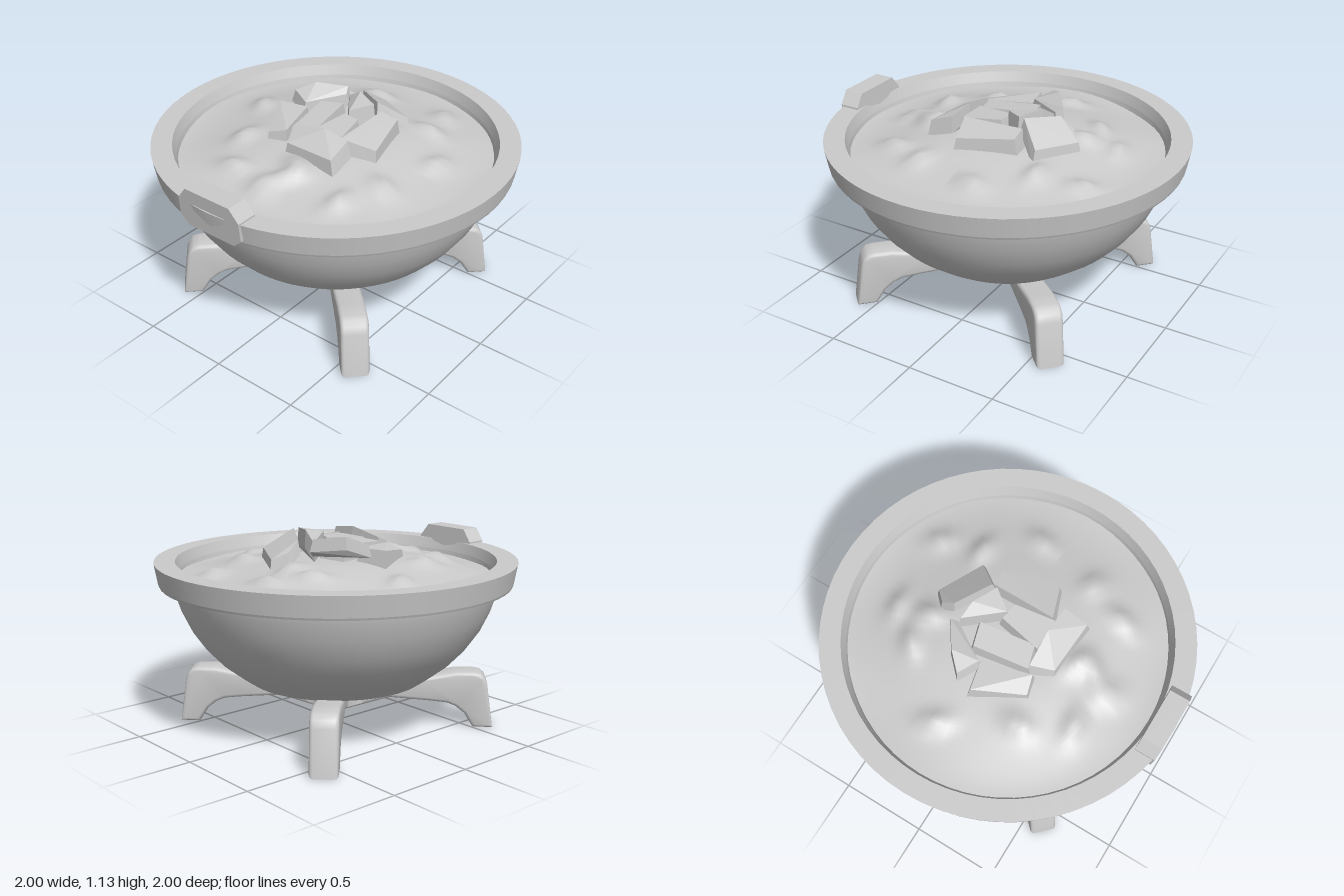
import * as THREE from 'three';
import { toCreasedNormals } from 'three/addons/utils/BufferGeometryUtils.js';
import { ConvexGeometry } from 'three/addons/geometries/ConvexGeometry.js';

const material = new THREE.MeshStandardMaterial({ color: 0xcccccc });
const thin = new THREE.MeshStandardMaterial({ color: 0xcccccc, side: THREE.DoubleSide });

function add(parent, name, geometry, mat = material) {
  const mesh = new THREE.Mesh(geometry, mat);
  mesh.name = name;
  parent.add(mesh);
  return mesh;
}

const vectors = (points) => points.map(([x, y]) => new THREE.Vector2(x, y));

function lathe(points) {
  return new THREE.LatheGeometry(vectors(points), 64);
}

// Low mound that falls to the wall, with small lumps scattered over it
const lumps = [
  [-0.15, -0.6], [0.3, -0.62], [-0.3, -0.42], [-0.6, -0.08], [0.58, -0.13], [0.5, 0.25],
  [0.4, 0.48], [-0.25, 0.55], [0, 0.62], [0.06, 0.5], [0.06, 0.4], [-0.4, 0.3], [0.36, -0.38], [-0.12, -0.42],
];
function ashHeight(x, z) {
  const r = Math.hypot(x, z);
  let y = 0.87 + 0.1 * (1 - THREE.MathUtils.smoothstep(r, 0.25, 0.85));
  lumps.forEach(([lx, lz], i) => {
    const a = i * 1.3, dx = x - lx, dz = z - lz;
    const u = dx * Math.cos(a) + dz * Math.sin(a), v = dz * Math.cos(a) - dx * Math.sin(a);
    y += 0.045 * Math.exp(-(u * u) / 0.008 - (v * v) / 0.003);
  });
  return y + 0.008 * Math.sin(7 * x + 1) * Math.cos(6 * z);
}

function ashGeometry() {
  const g = new THREE.RingGeometry(0.001, 0.868, 72, 36);
  g.rotateX(-Math.PI / 2);
  const p = g.attributes.position;
  for (let i = 0; i < p.count; i++) p.setY(i, ashHeight(p.getX(i), p.getZ(i)));
  g.computeVertexNormals();
  return g;
}

// Chipped block: top corners [x, z, y], with a slightly wider underside
function coalGeometry(corners, depth) {
  const cx = corners.reduce((s, c) => s + c[0], 0) / corners.length;
  const cz = corners.reduce((s, c) => s + c[1], 0) / corners.length;
  const points = [];
  for (const [x, z, y] of corners) {
    points.push(new THREE.Vector3(cx + (x - cx) * 0.92, y, cz + (z - cz) * 0.92));
    points.push(new THREE.Vector3(cx + (x - cx) * 1.04, y - depth, cz + (z - cz) * 1.04));
  }
  return new ConvexGeometry(points);
}

// One beam with a foot at each end
function beamGeometry() {
  const half = [
    [0.06, 0.09], [0.31, 0.165], [0.53, 0.15], [0.63, 0.14], [0.68, 0.12], [0.73, 0.08], [0.78, 0],
    [0.89, 0], [0.855, 0.25], [0.84, 0.29], [0.815, 0.313], [0.78, 0.32], [0.68, 0.32], [0.5, 0.285],
  ];
  const mirrored = half.map(([x, y]) => [-x, y]).reverse();
  const shape = new THREE.Shape(vectors([[0, 0.08], ...half, ...mirrored]));
  const g = new THREE.ExtrudeGeometry(shape, {
    depth: 0.11, bevelEnabled: true, bevelThickness: 0.02, bevelSize: 0.02, bevelOffset: -0.02, bevelSegments: 3,
  });
  g.translate(0, 0, -0.055);
  return toCreasedNormals(g, 0.7);
}

// Concave fillets where the beams cross
function hubGeometry() {
  const shape = new THREE.Shape();
  shape.moveTo(0.2, 0.065);
  for (let k = 0; k < 4; k++) {
    const turn = (x, y) => {
      const c = Math.cos(k * Math.PI / 2), s = Math.sin(k * Math.PI / 2);
      return [x * c - y * s, x * s + y * c];
    };
    if (k) shape.lineTo(...turn(0.2, 0.065));
    shape.quadraticCurveTo(...turn(0.075, 0.075), ...turn(0.065, 0.2));
  }
  const g = new THREE.ExtrudeGeometry(shape, { depth: 0.17, bevelEnabled: false, curveSegments: 6 });
  g.rotateX(-Math.PI / 2);
  g.translate(0, 0.11, 0);
  // The underside rises along each arm
  const p = g.attributes.position;
  for (let i = 0; i < p.count; i++) {
    if (p.getY(i) < 0.15) p.setY(i, 0.085 + 0.27 * Math.hypot(p.getX(i), p.getZ(i)));
  }
  return toCreasedNormals(g, 0.6);
}

// Eight-sided plate on the front of the rim, leaning outward to the top
function tabGeometry() {
  const right = [[0.15, 0.815], [0.2, 0.86], [0.2, 0.965], [0.145, 1.035]];
  const left = right.map(([x, y]) => [-x, y]).reverse();
  const g = new THREE.ExtrudeGeometry(new THREE.Shape(vectors([...right, ...left])), { depth: 0.115, bevelEnabled: false });
  const p = g.attributes.position;
  for (let i = 0; i < p.count; i++) p.setZ(i, p.getZ(i) + 0.883 - (1.035 - p.getY(i)) * 0.08);
  g.computeVertexNormals();
  return g;
}

export function createModel() {
  const model = new THREE.Group();
  model.name = 'fireBowl';

  // Bowl
  add(model, 'bowlBase', lathe([[0, 0.28], [0.5, 0.28]]));
  add(model, 'bowlShell', lathe([
    [0.5, 0.28], [0.56, 0.322], [0.66, 0.4], [0.74, 0.485], [0.81, 0.585], [0.86, 0.69], [0.893, 0.79], [0.9, 0.835],
  ]));

  // Rim, one band for each flat face
  const rim = new THREE.Group();
  rim.name = 'rim';
  model.add(rim);
  const profile = [[0.895, 0.83], [0.975, 0.83], [0.98, 0.842], [1, 0.955], [0.885, 0.955], [0.865, 0.895], [0.845, 0.8]];
  const bands = ['rimUnderside', 'rimLowerEdge', 'rimOuterWall', 'rimTop', 'rimInnerWall', 'bowlInnerWall'];
  bands.forEach((name, i) => add(rim, name, lathe([profile[i], profile[i + 1]])));
  add(model, 'frontTab', tabGeometry());

  // Ash and coals
  add(model, 'ashBed', ashGeometry(), thin);
  const coals = new THREE.Group();
  coals.name = 'coals';
  model.add(coals);
  const blocks = [
    [[[-0.06, -0.38, 1.03], [0.01, -0.45, 0.99], [0.27, -0.31, 1.01], [0.15, -0.17, 1.12], [-0.05, -0.3, 1.09]], 0.08],
    [[[-0.37, -0.08, 1.08], [-0.28, -0.17, 1.12], [-0.12, -0.28, 1.1], [-0.1, -0.24, 1.07], [-0.24, -0.02, 1.06]], 0.07],
    [[[-0.4, 0, 1.04], [-0.22, -0.04, 1.04], [-0.14, 0.25, 1.03], [-0.25, 0.28, 1.0]], 0.1],
    [[[-0.19, -0.11, 1.06], [-0.05, -0.15, 1.07], [0, 0.18, 1.05], [-0.14, 0.22, 1.04]], 0.1],
    [[[0.02, -0.06, 1.07], [0.13, -0.04, 1.07], [0.17, 0.2, 1.05], [-0.03, 0.2, 1.05]], 0.09],
    [[[0.16, -0.2, 1.07], [0.27, -0.21, 1.05], [0.36, 0.12, 1.02], [0.16, 0.19, 1.06]], 0.1],
    [[[-0.14, 0.2, 1.06], [0.08, 0.19, 1.1], [0.25, 0.2, 1.08], [0.25, 0.35, 1.03], [-0.08, 0.33, 1.02]], 0.09],
    [[[-0.1, -0.24, 1.07], [0, -0.22, 1.13], [0.15, -0.15, 1.12], [0.06, -0.03, 1.1]], 0.1],
  ];
  blocks.forEach(([corners, depth], i) => add(coals, `coal${i + 1}`, coalGeometry(corners, depth)));

  // Crossed stand
  const stand = new THREE.Group();
  stand.name = 'stand';
  stand.rotation.y = Math.PI / 4;
  model.add(stand);
  const beam = beamGeometry();
  add(stand, 'legPairA', beam);
  add(stand, 'legPairB', beam).rotation.y = Math.PI / 2;
  add(stand, 'standHub', hubGeometry());

  return model;
}
